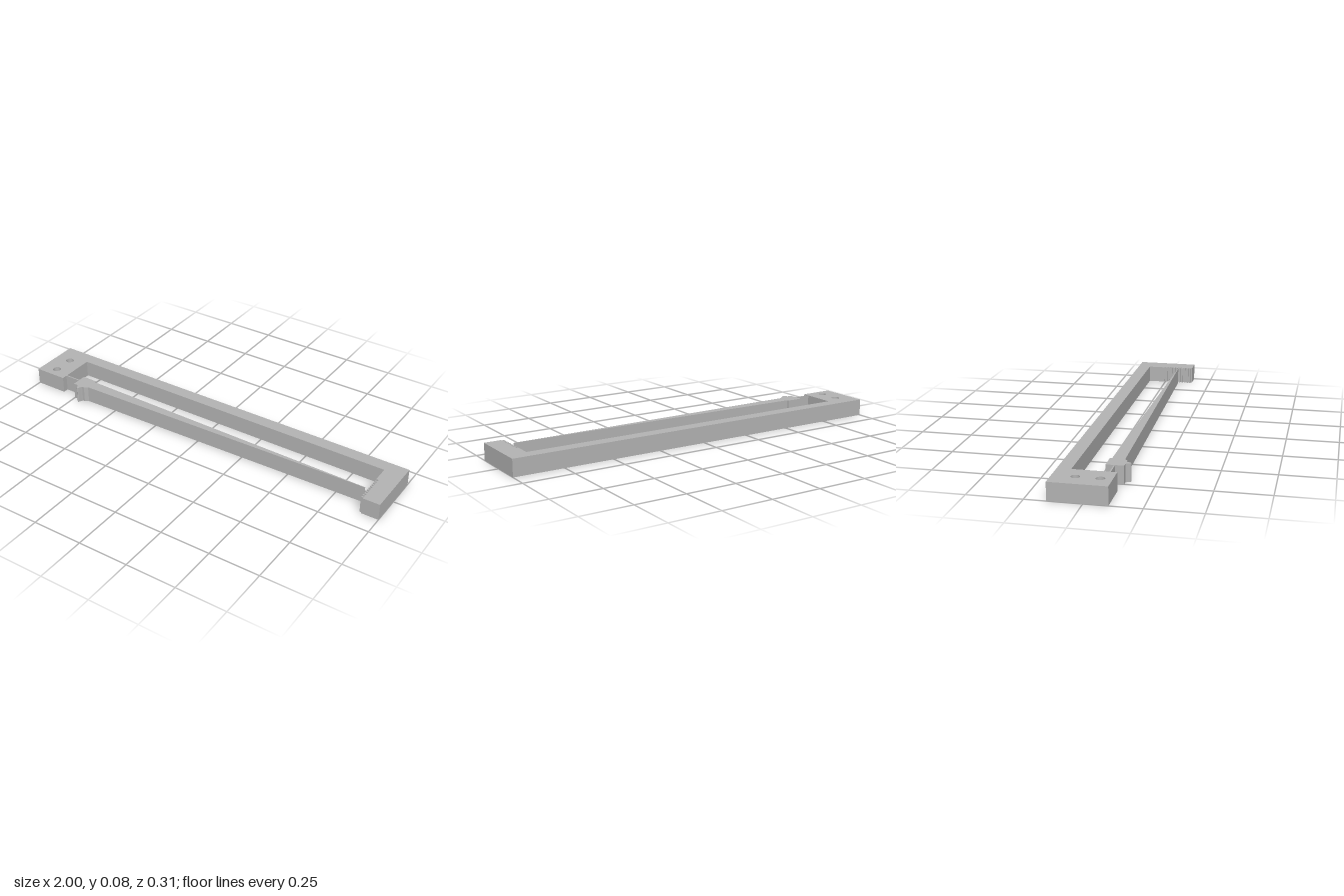
import * as THREE from 'three';

const HEIGHT = 0.084;

export function createModel() {
  const group = new THREE.Group();
  const plastic = new THREE.MeshStandardMaterial({ color: 0xb3b3b3 });
  plastic.name = 'grey plastic';

  // Extrudes a plan outline of [x, z] points upwards from the ground
  function addPlate(name, points, holes = []) {
    const shape = new THREE.Shape(points.map(([x, z]) => new THREE.Vector2(x, -z)));
    for (const [x, z, r] of holes) {
      shape.holes.push(new THREE.Path().absarc(x, -z, r, 0, Math.PI * 2, true));
    }
    const geometry = new THREE.ExtrudeGeometry(shape, { depth: HEIGHT, bevelEnabled: false, curveSegments: 16 });
    geometry.rotateX(-Math.PI / 2);
    const mesh = new THREE.Mesh(geometry, plastic);
    mesh.name = name;
    group.add(mesh);
  }

  // Scale teeth along the inner face of the right arm
  const teeth = [];
  const count = 10, start = 0.0, pitch = 0.015;
  for (let i = count - 1; i >= 0; i--) {
    const z = start + i * pitch;
    teeth.push([0.916, z + 0.011], [0.904, z + 0.011], [0.904, z + 0.004], [0.916, z + 0.004]);
  }

  // C-shaped frame with mounting holes and toothed scale
  addPlate('frame', [
    [-1, -0.153], [-1, 0.107], [-0.833, 0.107], [-0.833, -0.09],
    [0.904, -0.09], [0.904, -0.006], [0.916, -0.006],
    ...teeth.reverse(),
    [0.916, 0.153], [1, 0.153], [1, -0.153],
  ], [[-0.917, -0.051, 0.02], [-0.917, 0.055, 0.02]]);

  // Thin flexible hinge between frame and pointer
  addPlate('flexure', [[-0.835, 0.073], [-0.835, 0.079], [-0.748, 0.079], [-0.748, 0.073]]);

  // Pointer hub with a small rounded knob on its front
  addPlate('pointerHub', [
    [-0.75, 0.037], [-0.75, 0.118], [-0.726, 0.118],
    [-0.721, 0.126], [-0.716, 0.138], [-0.711, 0.142], [-0.706, 0.138], [-0.701, 0.126],
    [-0.697, 0.118], [-0.685, 0.118], [-0.668, 0.105], [-0.668, 0.037],
  ]);

  // Long tapering pointer
  addPlate('pointer', [[-0.669, 0.047], [-0.669, 0.105], [0.89, 0.077], [0.89, 0.075]]);

  return group;
}
